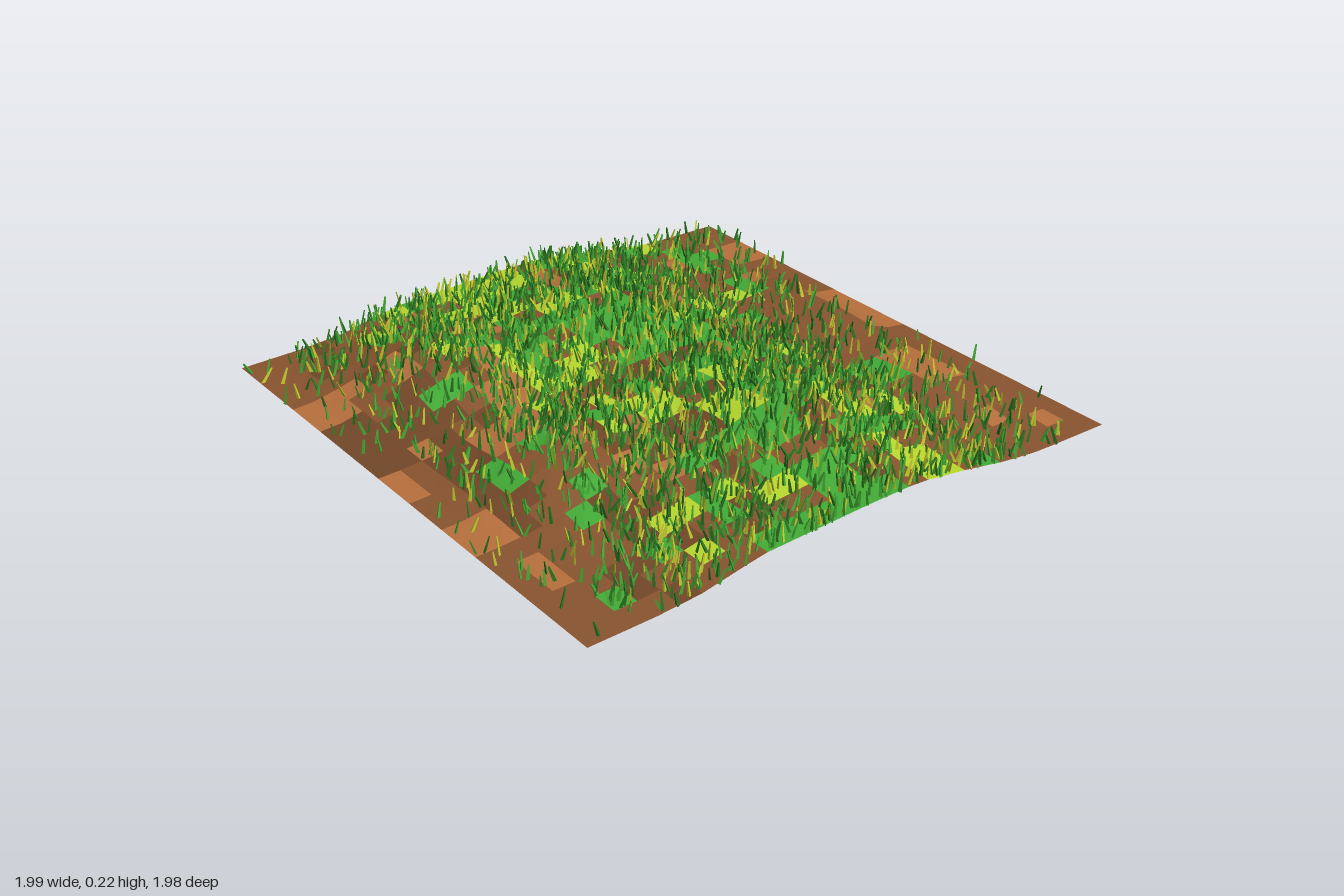
import * as THREE from 'three';
import { mergeGeometries } from 'three/addons/utils/BufferGeometryUtils.js';

// One letter per ground tile, back row first: d dark soil, b soil, l light soil, g grass, y lime grass
const TILES = [
  'bbllbbbbllllbbbbbbbbbb', 'bbllbbbbllllbbbbbbbblb', 'bbgbblbbbbbbbblllbbbbb', 'bgggbggbbbbbbblllbblbb',
  'yblbbbybbbbbbbggbbbbbb', 'gbbgbbbbgbbbbbggbbbbbb', 'bbbbbbyylbbyybbbyybbbg', 'bbyyblbgbbbgbbgbllgbbb',
  'gyyygbbyggggbbgyyygbyy', 'yygggbgggglgybgyyygyyy', 'gbbyygggggbgyyggbbgbbb', 'blllgbggggbgyygggbbgbg',
  'yybgygggggbggbyyggbggg', 'yygbygggbgbbbbyyggbggg', 'yygybgbyybbgyybbgbgybg', 'yyyygggbyybbyybbgbbybg',
  'ybyblbgggybyglbbgbybbg', 'gbyglgyyyybbgybblbggbg', 'ylbbbgllllybbbblbbybbb', 'bbbbbybbllllllbbbbybyb',
  'bygbbbbgbbllgbbgbbbgbb', 'bbbbllbgbbllbbbbgbbbbb', 'bbbbbbbdddddggbbbbbbbb', 'bbbblbbddlddddddbbbbgb',
  'bbbbllddddbbbbllbllbbb', 'bbbbllddddllbbllbbbbbb',
];
const COLS = 22, ROWS = 26;
const X0 = -0.98, X1 = 0.975, Z0 = -0.985, Z1 = 0.968;

const GROUND = {
  d: ['darkSoil', 0x734728], b: ['soil', 0x89542f], l: ['lightSoil', 0xb8703d],
  g: ['grassTiles', 0x43ac36], y: ['limeTiles', 0xb8d82e],
};

function seeded(seed) {
  return () => {
    seed = (seed * 1664525 + 1013904223) >>> 0;
    return seed / 4294967296;
  };
}

// Height of the side borders along z, as [z, y]
const BORDER = [[-0.99, 0.008], [-0.7, 0.012], [-0.55, 0.028], [-0.4, 0.055], [-0.2, 0.083],
  [0, 0.08], [0.2, 0.072], [0.38, 0.065], [0.6, 0.022], [0.75, 0.012], [0.99, 0.008]];

// Rounded hills on top of the border height: x, z, height, width, depth
const HILLS = [
  [-0.5, 0.53, 0.1, 0.3, 0.23], [0.22, 0.52, 0.08, 0.24, 0.22], [0.47, -0.14, 0.08, 0.28, 0.26],
  [-0.5, -0.1, 0.052, 0.28, 0.24], [0.05, 0, 0.02, 0.3, 0.35],
  [-0.1, -0.78, 0.05, 0.4, 0.15], [0.5, -0.72, 0.045, 0.25, 0.2],
];

function height(x, z) {
  let i = 0;
  while (i < BORDER.length - 2 && z > BORDER[i + 1][0]) i++;
  const [za, ya] = BORDER[i], [zb, yb] = BORDER[i + 1];
  let y = THREE.MathUtils.lerp(ya, yb, THREE.MathUtils.clamp((z - za) / (zb - za), 0, 1));
  const edge = Math.min(1, (0.98 - Math.abs(x)) / 0.2, (z - Z0) / 0.15, (Z1 - z) / 0.15);
  for (const [hx, hz, h, w, d] of HILLS) {
    y += Math.max(0, edge) * h * Math.exp(-(((x - hx) / w) ** 2) - ((z - hz) / d) ** 2);
  }
  return y;
}

// Tiled ground sheet, one mesh per colour
function createGround() {
  const ground = new THREE.Group();
  ground.name = 'ground';
  const rand = seeded(5);
  const lists = { d: [], b: [], l: [], g: [], y: [] };
  const corner = (i, j) => {
    const x = THREE.MathUtils.lerp(X0, X1, i / COLS), z = THREE.MathUtils.lerp(Z0, Z1, j / ROWS);
    return [x, height(x, z), z];
  };
  for (let j = 0; j < ROWS; j++) {
    for (let i = 0; i < COLS; i++) {
      let key = TILES[j][i];
      if (key === 'b' && j > 5 && j < 24 && rand() < 0.25) key = 'd';
      const a = corner(i, j), b = corner(i + 1, j), c = corner(i + 1, j + 1), d = corner(i, j + 1);
      lists[key].push(...a, ...d, ...c, ...a, ...c, ...b);
    }
  }
  for (const key of Object.keys(lists)) {
    const geometry = new THREE.BufferGeometry();
    geometry.setAttribute('position', new THREE.Float32BufferAttribute(lists[key], 3));
    geometry.computeVertexNormals();
    const [name, color] = GROUND[key];
    const material = new THREE.MeshStandardMaterial({ color, flatShading: true, side: THREE.DoubleSide });
    const mesh = new THREE.Mesh(geometry, material);
    mesh.name = name;
    ground.add(mesh);
  }
  return ground;
}

// Share of blades kept: full in the middle, thinner to front and back, sparse on the end strips
function density(x, z) {
  if (z < -0.83) return x < -0.5 ? 0.25 : 0.02;
  if (z > 0.82) return 0.09;
  return Math.abs(z) > 0.6 ? 0.45 : 0.95;
}

// Thin leaning blades scattered over the ground
function createGrass() {
  const grass = new THREE.Group();
  grass.name = 'grass';
  const rand = seeded(77);
  const blade = new THREE.CylinderGeometry(0.0035, 0.007, 1, 3, 1, true).translate(0, 0.5, 0);
  const shades = [['darkBlades', 0x2c7a22, []], ['greenBlades', 0x46ad34, []], ['oliveBlades', 0xc3cc2e, []]];
  const dummy = new THREE.Object3D();
  for (let n = 0; n < 6000; n++) {
    const x = THREE.MathUtils.lerp(X0, X1, rand()), z = THREE.MathUtils.lerp(Z0, Z1, rand());
    const keep = rand() < density(x, z), tall = 0.042 + 0.022 * rand(), pick = rand();
    const lean = [(rand() - 0.5) * 0.7, rand() * Math.PI * 2, (rand() - 0.5) * 0.7];
    if (!keep) continue;
    dummy.position.set(x, Math.max(0, height(x, z) - 0.004), z);
    dummy.rotation.set(...lean);
    dummy.scale.set(1, tall, 0.6);
    dummy.updateMatrix();
    shades[pick < 0.4 ? 0 : pick < 0.75 ? 1 : 2][2].push(blade.clone().applyMatrix4(dummy.matrix));
  }
  for (const [name, color, blades] of shades) {
    const material = new THREE.MeshStandardMaterial({ color, flatShading: true, side: THREE.DoubleSide });
    const mesh = new THREE.Mesh(mergeGeometries(blades), material);
    mesh.name = name;
    grass.add(mesh);
  }
  return grass;
}

export function createModel() {
  const model = new THREE.Group();
  model.name = 'grassyGround';
  model.add(createGround(), createGrass());
  return model;
}
